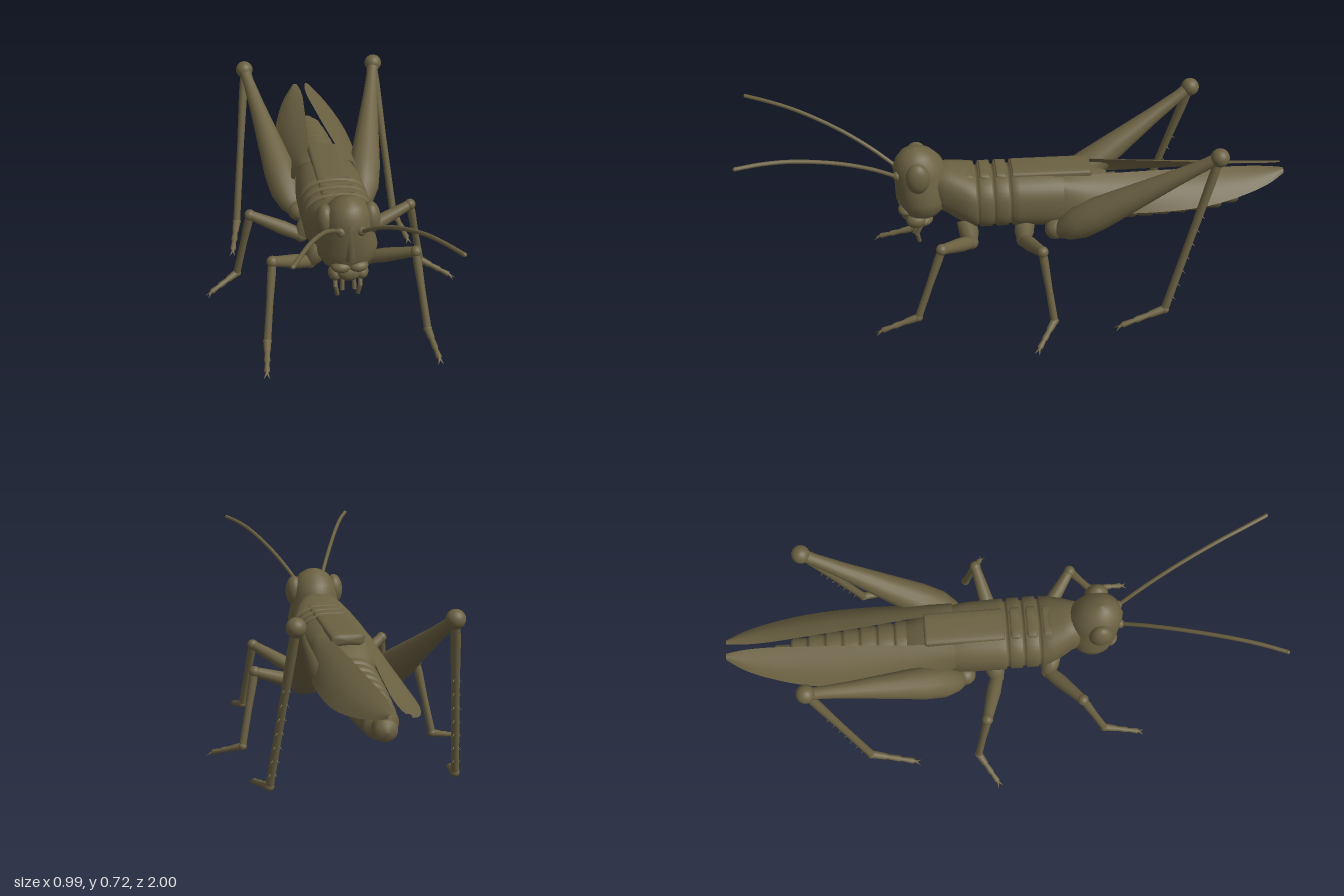
import * as THREE from 'three';

const olive = new THREE.MeshStandardMaterial({ color: 0x6b6142 });
const oliveWing = olive.clone();
oliveWing.side = THREE.DoubleSide;
const V = (a) => new THREE.Vector3(...a);

// Closed skin through superellipse rings [z, centreY, radiusX, radiusY], z rising
function loft(rows, power = 2, seg = 32) {
  const pos = [], idx = [], e = 2 / power;
  const sp = (v) => Math.sign(v) * Math.abs(v) ** e;
  rows.forEach(([z, cy, rx, ry], i) => {
    for (let j = 0; j < seg; j++) {
      const t = (j / seg) * Math.PI * 2;
      pos.push(rx * sp(Math.cos(t)), cy + ry * sp(Math.sin(t)), z);
      if (!i) continue;
      const k = (j + 1) % seg, a = (i - 1) * seg;
      idx.push(a + j, a + k, a + seg + k, a + j, a + seg + k, a + seg + j);
    }
  });
  const g = new THREE.BufferGeometry();
  g.setAttribute('position', new THREE.Float32BufferAttribute(pos, 3));
  g.setIndex(idx);
  g.computeVertexNormals();
  return g;
}

function add(parent, name, geometry, material = olive) {
  const m = new THREE.Mesh(geometry, material);
  m.name = name;
  parent.add(m);
  return m;
}

function ball(parent, name, p, r) {
  const m = add(parent, name, new THREE.SphereGeometry(1, 24, 16));
  m.position.set(...p);
  m.scale.set(...(Array.isArray(r) ? r : [r, r, r]));
  return m;
}

// Turned limb from a to b, profile of [fraction, radius]
function limb(parent, name, a, b, profile) {
  const A = V(a), d = V(b).sub(A), len = d.length();
  const pts = profile.map(([t, r]) => new THREE.Vector2(r, t * len));
  const m = add(parent, name, new THREE.LatheGeometry(pts, 16));
  m.position.copy(A);
  m.quaternion.setFromUnitVectors(new THREE.Vector3(0, 1, 0), d.normalize());
  return m;
}

// Lower leg, foot joints and claws shared by all legs
function lowerLeg(g, knee, ankle, toe, r) {
  ball(g, 'knee', knee, r * 1.45);
  limb(g, 'tibia', knee, ankle, [[0, r], [0.15, r * 1.1], [0.5, r * 0.9], [1, r * 0.95]]);
  ball(g, 'ankle', ankle, r * 1.1);
  limb(g, 'tarsus', ankle, toe, [[0, r], [0.3, r * 0.85], [0.36, r * 0.65], [0.6, r * 0.8],
    [0.66, r * 0.55], [0.9, r * 0.75], [1, 0]]);
  const d = V(toe).sub(V(ankle)).normalize();
  for (const k of [-1, 1]) {
    const tip = V(toe).add(new THREE.Vector3(d.x * 0.015 + d.z * 0.012 * k, -0.012, d.z * 0.015 - d.x * 0.012 * k));
    limb(g, 'claw', V(toe).addScaledVector(d, -0.008).toArray(), tip.toArray(), [[0, 0.005], [1, 0]]);
  }
}

function walkingLeg(root, name, s, hip, trochanter, knee, ankle, toe) {
  const [h, t, k, a, f] = [hip, trochanter, knee, ankle, toe].map(([x, y, z]) => [x * s, y, z]);
  const g = new THREE.Group();
  g.name = name;
  root.add(g);
  limb(g, 'coxa', h, t, [[0, 0], [0.02, 0.036], [0.6, 0.036], [1, 0.026]]);
  ball(g, 'trochanter', t, 0.027);
  limb(g, 'femur', t, k, [[0, 0.024], [0.35, 0.027], [1, 0.018]]);
  lowerLeg(g, k, a, f, 0.0145);
}

function hindLeg(root, s) {
  const g = new THREE.Group();
  g.name = 'hindLeg';
  root.add(g);
  const hip = [0.13 * s, 0.29, -0.13], knee = [0.265 * s, 0.665, -0.69];
  const ankle = [0.33 * s, 0.06, -0.515], toe = [0.362 * s, 0.016, -0.34];
  ball(g, 'hip', [0.115 * s, 0.3, -0.13], 0.04);
  limb(g, 'femur', hip, knee, [[0, 0], [0.015, 0.025], [0.06, 0.045], [0.15, 0.062], [0.28, 0.062],
    [0.5, 0.047], [0.75, 0.03], [0.92, 0.022], [1, 0.024]]);
  ball(g, 'kneeCap', knee, 0.034);
  lowerLeg(g, knee, ankle, toe, 0.0155);
  // Two rows of spines down the back of the shin
  for (let i = 0; i < 7; i++) for (const k of [-1, 1]) {
    const p = V(knee).lerp(V(ankle), 0.36 + i * 0.09);
    limb(g, 'spine', p.toArray(), [p.x + k * 0.016, p.y - 0.014, p.z - 0.02], [[0, 0.005], [1, 0]]);
  }
}

// Tented wing between inner and outer edges
function wing(s) {
  // z, inner x, inner y, outer x, outer y
  const edges = [[-0.16, 0.06, 0.495, 0.125, 0.42], [-0.27, 0.055, 0.492, 0.145, 0.385], [-0.5, 0.035, 0.483, 0.155, 0.375],
    [-0.7, 0.02, 0.474, 0.142, 0.383], [-0.85, 0.01, 0.467, 0.108, 0.405], [-0.94, 0.011, 0.462, 0.075, 0.425], [-1, 0.018, 0.458, 0.04, 0.445]];
  const inner = new THREE.CatmullRomCurve3(edges.map((e) => V([e[1] * s, e[2], e[0]])));
  const outer = new THREE.CatmullRomCurve3(edges.map((e) => V([e[3] * s, e[4], e[0]])));
  const g = new THREE.PlaneGeometry(1, 1, 8, 36), p = g.attributes.position, uv = g.attributes.uv;
  for (let i = 0; i < p.count; i++) {
    const u = uv.getX(i), v = uv.getY(i);
    const q = inner.getPoint(v).lerp(outer.getPoint(v), u);
    const puff = 0.018 * Math.sin(Math.PI * u) * (1 - v * 0.7);
    p.setXYZ(i, q.x + puff * 0.6 * s, q.y + puff, q.z);
  }
  if (s > 0) g.setIndex([...g.index.array].reverse());
  g.computeVertexNormals();
  return g;
}

export function createModel() {
  const root = new THREE.Group();
  root.name = 'grasshopper';

  // Thorax with three grooves across the back
  const body = [[-0.34, 0.38, 0.001, 0.001], [-0.335, 0.38, 0.08, 0.075], [-0.2, 0.388, 0.118, 0.108], [-0.1, 0.395, 0.128, 0.113], [0, 0.397, 0.13, 0.112]];
  for (const z of [0.035, 0.095, 0.155]) {
    body.push([z - 0.009, 0.4, 0.13, 0.11], [z - 0.005, 0.395, 0.121, 0.099], [z + 0.005, 0.395, 0.121, 0.099], [z + 0.009, 0.4, 0.13, 0.11]);
  }
  body.push([0.2, 0.412, 0.12, 0.106], [0.24, 0.427, 0.105, 0.1], [0.27, 0.44, 0.09, 0.092], [0.33, 0.45, 0.07, 0.075], [0.34, 0.45, 0.001, 0.001]);
  add(root, 'thorax', loft(body, 2.5, 40));

  // Flat ridged shield on the back, broken by the grooves
  for (const [a, b] of [[-0.27, 0.026], [0.044, 0.086], [0.104, 0.146], [0.164, 0.225]]) {
    add(root, 'backShield', loft([[a, 0.49, 0.001, 0.001], [a + 0.001, 0.49, 0.056, 0.018],
      [a + 0.01, 0.493, 0.062, 0.021], [b - 0.006, 0.495, 0.062, 0.021], [b - 0.001, 0.495, 0.058, 0.018], [b, 0.495, 0.001, 0.001]], 4));
  }

  // Segmented abdomen
  const abdomen = [[-0.85, 0.345, 0.001, 0.001], [-0.845, 0.345, 0.022, 0.022]];
  const n = 9;
  for (let i = 0; i < n; i++) {
    const z = -0.835 + i * 0.065, f = Math.min(1, 0.42 + 0.62 * Math.sqrt(i / n));
    const cy = 0.345 + 0.02 * (i / n);
    abdomen.push([z, cy, 0.088 * f, 0.084 * f], [z + 0.01, cy, 0.096 * f, 0.092 * f],
      [z + 0.055, cy, 0.092 * f, 0.088 * f], [z + 0.062, cy, 0.085 * f, 0.081 * f]);
  }
  abdomen.push([-0.24, 0.37, 0.001, 0.001]);
  add(root, 'abdomen', loft(abdomen));

  // Head, built upright from rings of [y, -z, radiusX, radiusZ]
  const head = [[0.325, -0.365, 0.001, 0.001], [0.335, -0.365, 0.05, 0.045], [0.355, -0.358, 0.085, 0.072], [0.385, -0.352, 0.104, 0.09],
    [0.42, -0.352, 0.108, 0.097], [0.46, -0.355, 0.098, 0.099], [0.52, -0.362, 0.086, 0.098], [0.56, -0.368, 0.078, 0.085],
    [0.59, -0.373, 0.056, 0.06], [0.606, -0.376, 0.028, 0.03], [0.612, -0.377, 0.001, 0.001]];
  add(root, 'head', loft(head).rotateX(-Math.PI / 2));
  limb(root, 'faceRidge', [0, 0.385, 0.437], [0, 0.57, 0.437], [[0, 0], [0.06, 0.018], [0.5, 0.02], [0.8, 0.024], [1, 0]]);
  ball(root, 'upperLip', [0, 0.335, 0.405], [0.045, 0.035, 0.035]);
  ball(root, 'lowerLip', [0, 0.305, 0.36], [0.05, 0.025, 0.04]);

  for (const s of [1, -1]) {
    ball(root, 'eye', [0.08 * s, 0.525, 0.372], [0.034, 0.06, 0.044]);
    ball(root, 'cheek', [0.03 * s, 0.365, 0.42], [0.036, 0.022, 0.03]);
    ball(root, 'mandible', [0.046 * s, 0.322, 0.385], [0.026, 0.027, 0.036]);
    limb(root, 'innerPalp', [0.02 * s, 0.31, 0.38], [0.022 * s, 0.25, 0.395], [[0, 0.007], [0.95, 0.008], [1, 0]]);
    limb(root, 'outerPalp', [0.045 * s, 0.31, 0.36], [0.045 * s, 0.26, 0.385], [[0, 0.008], [1, 0.008]]);
    limb(root, 'outerPalpTip', [0.045 * s, 0.265, 0.383], [0.036 * s, 0.22, 0.375], [[0, 0.008], [0.9, 0.008], [1, 0]]);

    // Antenna
    ball(root, 'antennaSocket', [0.037 * s, 0.515, 0.447], 0.017);
    const path = new THREE.CatmullRomCurve3([[0.037, 0.515, 0.45], [0.075, 0.575, 0.54], [0.125, 0.636, 0.66],
      [0.185, 0.688, 0.81], [0.225, 0.707, 0.91], [0.262, 0.715, 0.995]].map(([x, y, z]) => V([x * s, y, z])));
    add(root, 'antenna', new THREE.TubeGeometry(path, 40, 0.0075, 8));
    ball(root, 'antennaTip', [0.262 * s, 0.715, 0.993], 0.0075);

    add(root, 'wing', wing(s), oliveWing);

    walkingLeg(root, 'frontLeg', s, [0.07, 0.33, 0.2], [0.112, 0.257, 0.185], [0.26, 0.333, 0.3], [0.293, 0.06, 0.395], [0.31, 0.018, 0.54]);
    walkingLeg(root, 'middleLeg', s, [0.08, 0.32, -0.02], [0.12, 0.26, -0.01], [0.308, 0.333, -0.06], [0.363, 0.06, -0.1], [0.475, 0.018, -0.03]);
    hindLeg(root, s);
  }
  return root;
}
